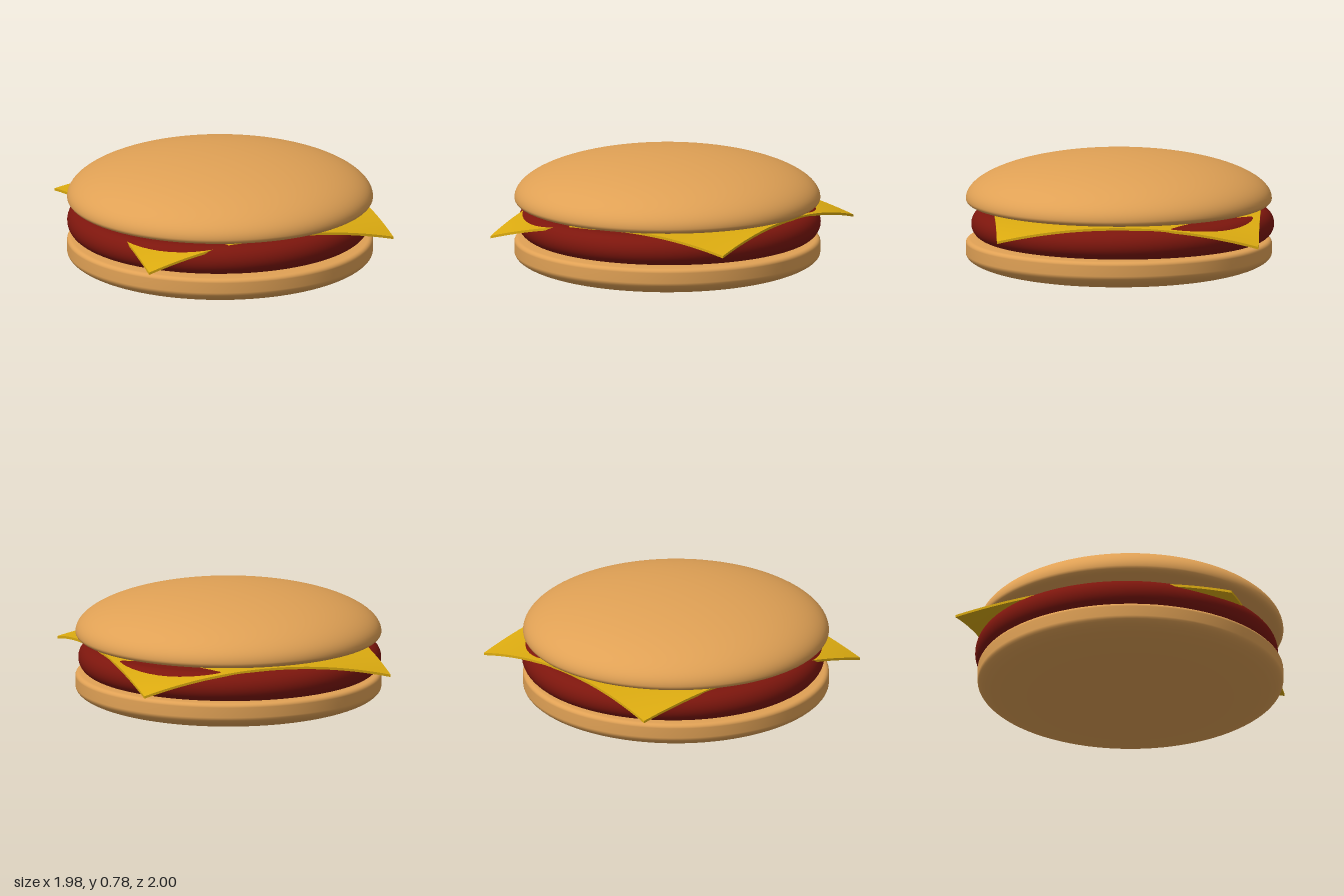
import * as THREE from 'three';

const BUN = 0xe0a155, PATTY = 0x7d160d, CHEESE = 0xdcab10;
const SEGMENTS = 96;

function addMesh(group, name, geometry, color) {
  const mesh = new THREE.Mesh(geometry, new THREE.MeshStandardMaterial({ color }));
  mesh.name = name;
  group.add(mesh);
  return mesh;
}

// Points on a quarter ellipse-like arc, centred on (cx, cy).
function arc(cx, cy, rx, ry, from, to, steps) {
  return Array.from({ length: steps + 1 }, (_, i) => {
    const a = from + ((to - from) * i) / steps;
    return new THREE.Vector2(Math.max(0, cx + rx * Math.cos(a)), cy + ry * Math.sin(a));
  });
}

const lathe = (points) => new THREE.LatheGeometry(points, SEGMENTS);
const axis = (y) => new THREE.Vector2(0, y);

// Quadratic weights for control values at -1, 0 and 1.
const weights = (t) => [(t * (t - 1)) / 2, 1 - t * t, (t * (t + 1)) / 2];

// Thin square slice bent over a 3 x 3 grid of control points, back row first.
function cheeseGeometry() {
  const grid = [
    [[-0.76, 0.343, -0.985], [0.06, 0.431, -0.915], [0.89, 0.298, -0.865]],
    [[-0.805, 0.434, -0.03], [0.04, 0.437, -0.03], [0.897, 0.428, -0.02]],
    [[-0.83, 0.298, 0.86], [0.03, 0.433, 0.825], [0.88, 0.343, 0.83]],
  ];
  const geometry = new THREE.BoxGeometry(2, 0.016, 2, 32, 1, 32);
  const pos = geometry.attributes.position;
  for (let i = 0; i < pos.count; i++) {
    const wu = weights(pos.getX(i)), wv = weights(pos.getZ(i));
    const p = [0, pos.getY(i), 0];
    grid.forEach((row, r) => row.forEach((point, c) => {
      for (let k = 0; k < 3; k++) p[k] += point[k] * wu[c] * wv[r];
    }));
    pos.setXYZ(i, ...p);
  }
  geometry.computeVertexNormals();
  return geometry;
}

export function createModel() {
  const burger = new THREE.Group();
  burger.name = 'burger';
  const q = Math.PI / 2;

  // Bottom bun: shallow rounded base, upright side, small rounded top rim
  const bottomBun = lathe([
    axis(0.004),
    ...arc(0.46, 0.134, 0.53, 0.13, -q, 0, 20),
    ...arc(0.96, 0.2, 0.03, 0.026, 0, q, 6),
    new THREE.Vector2(0.9, 0.229),
    axis(0.23),
  ]);
  addMesh(burger, 'bottomBun', bottomBun, BUN).position.z = 0.005;

  // Patty: flat disc with a fully rounded rim
  const patty = lathe([axis(0.23), ...arc(0.885, 0.325, 0.095, 0.095, -q, q, 24), axis(0.42)]);
  addMesh(burger, 'patty', patty, PATTY).position.z = -0.02;

  // Cheese slice with four drooping corners
  addMesh(burger, 'cheeseSlice', cheeseGeometry(), CHEESE);

  // Top bun: elliptical dome over a tight rounded lower rim
  const topBun = lathe([
    axis(0.45),
    new THREE.Vector2(0.88, 0.451),
    ...arc(0.94, 0.49, 0.05, 0.036, -q, 0, 6),
    ...arc(0, 0.49, 0.99, 0.296, 0, q, 32).slice(1),
  ]);
  addMesh(burger, 'topBun', topBun, BUN).position.z = 0.005;

  return burger;
}
